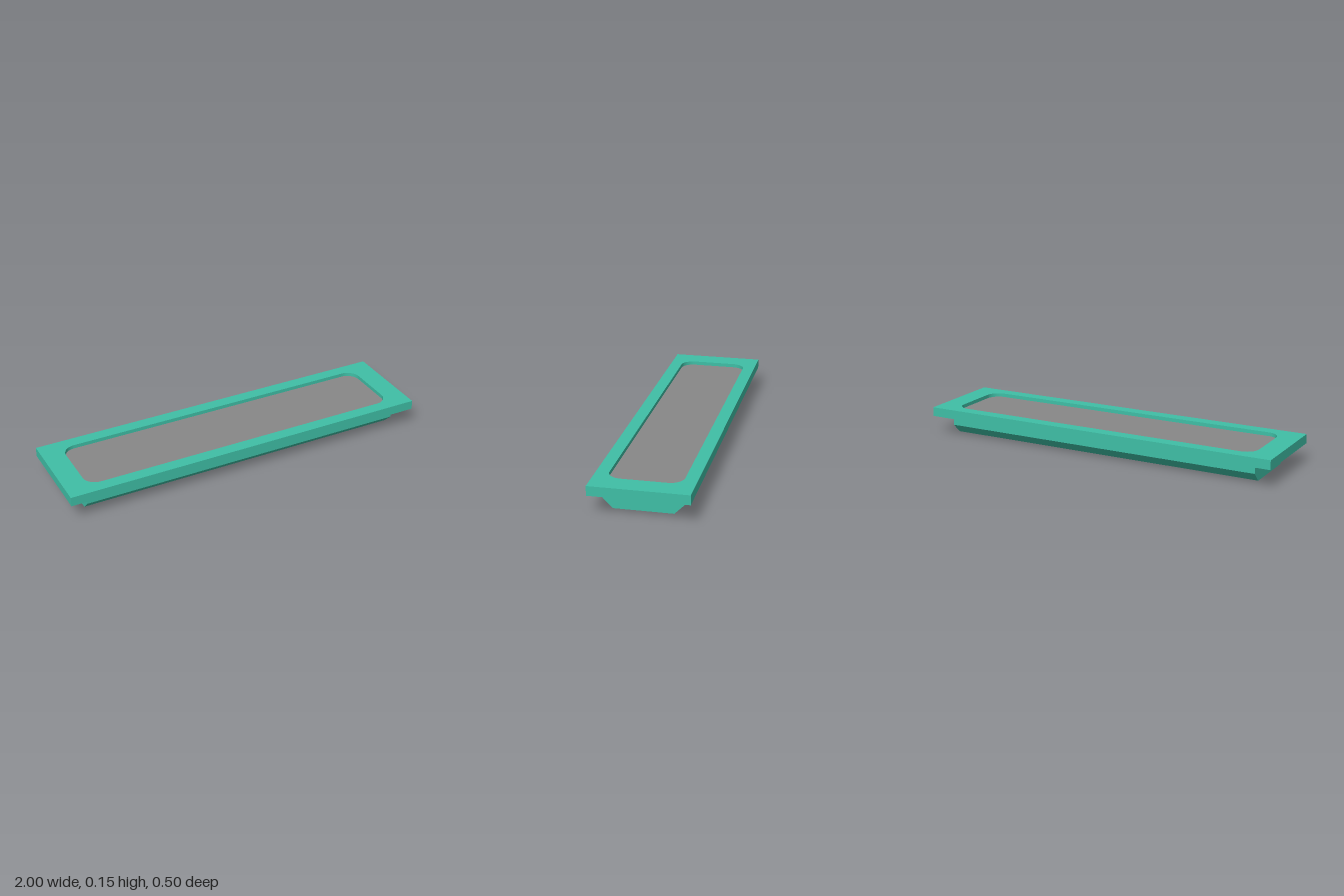
import * as THREE from 'three';

const teal = new THREE.MeshStandardMaterial({ color: 0x3fbfa6, side: THREE.DoubleSide });
const grey = new THREE.MeshStandardMaterial({ color: 0x888888 });

// Rectangle outline, with rounded corners when r > 0
function outline(w, d, r, Type) {
  const s = new Type();
  const x = w / 2, y = d / 2;
  if (r === 0) {
    s.moveTo(-x, -y).lineTo(x, -y).lineTo(x, y).lineTo(-x, y).closePath();
    return s;
  }
  s.absarc(x - r, -y + r, r, -Math.PI / 2, 0);
  s.absarc(x - r, y - r, r, 0, Math.PI / 2);
  s.absarc(-x + r, y - r, r, Math.PI / 2, Math.PI);
  s.absarc(-x + r, -y + r, r, Math.PI, Math.PI * 1.5);
  s.closePath();
  return s;
}

// Upright thin wall that follows a closed outline; inward flips its facing
function wall(path, y0, y1, inward) {
  const pts = path.getPoints(8);
  const pos = [];
  for (let i = 0; i < pts.length - 1; i++) {
    const [a, b] = inward ? [pts[i], pts[i + 1]] : [pts[i + 1], pts[i]];
    if (a.distanceTo(b) < 1e-6) continue;
    pos.push(a.x, y0, a.y, b.x, y0, b.y, b.x, y1, b.y);
    pos.push(a.x, y0, a.y, b.x, y1, b.y, a.x, y1, a.y);
  }
  const g = new THREE.BufferGeometry();
  g.setAttribute('position', new THREE.Float32BufferAttribute(pos, 3));
  g.computeVertexNormals();
  return g;
}

export function createModel() {
  const model = new THREE.Group();
  model.name = 'recessedTray';
  const add = (name, geometry, material) => {
    const m = new THREE.Mesh(geometry, material);
    m.name = name;
    model.add(m);
    return m;
  };

  // Flange: top sheet with a rounded opening, and a skirt open below
  const rim = outline(2, 0.5, 0, THREE.Shape);
  const opening = outline(1.77, 0.37, 0.07, THREE.Path);
  rim.holes.push(opening);
  const top = new THREE.ShapeGeometry(rim, 8);
  top.rotateX(-Math.PI / 2).translate(0, 0.15, 0);
  add('flangeTop', top, teal);
  add('flangeSkirt', wall(rim, 0.1, 0.15, false), teal);
  add('openingEdge', wall(opening, 0.13, 0.15, true), teal);

  // Inset panel below the opening
  add('panel', new THREE.BoxGeometry(1.9, 0.004, 0.4).translate(0, 0.128, 0), grey);

  // Body: chamfered section run along x
  const section = new THREE.Shape([
    [-0.15, 0], [0.15, 0], [0.2, 0.05], [0.2, 0.126], [-0.2, 0.126], [-0.2, 0.05],
  ].map(([z, y]) => new THREE.Vector2(z, y)));
  const body = new THREE.ExtrudeGeometry(section, { depth: 1.8, bevelEnabled: false });
  body.translate(0, 0, -0.9).rotateY(Math.PI / 2);
  add('body', body, teal);

  return model;
}
